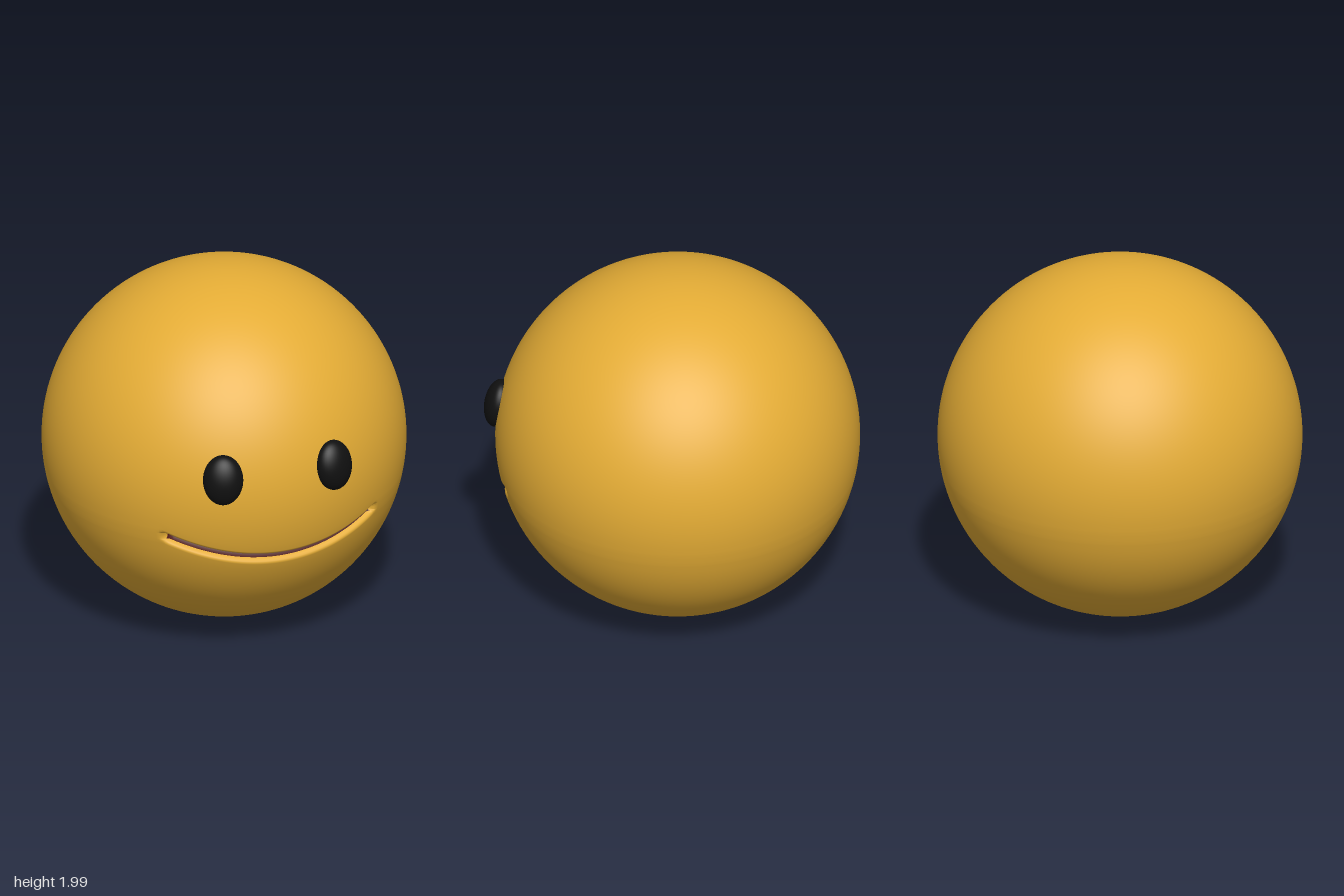
import * as THREE from 'three';

const R = 0.994;          // head radius
const CZ = -0.006;        // head centre, shifted so the eyes reach z = 1
const COLS = 360;
const MOUTH_END = 0.69;   // half angle of the smile around the y axis

const skin = new THREE.MeshStandardMaterial({ color: 0xe4ac35 });
skin.name = 'golden yellow';
const maroon = new THREE.MeshStandardMaterial({ color: 0x4a1010 });
maroon.name = 'dark maroon';
const black = new THREE.MeshStandardMaterial({ color: 0x101010 });
black.name = 'black';

// Groove section: [offset from the smile line, depth below the sphere]
const half = [[0.046, 0], [0.037, 0.002], [0.030, 0.007], [0.025, 0.016], [0.021, 0.032], [0.017, 0.06]];
const groove = [...half.map(([o, d]) => [-o, d]), [0, 0.065], ...half.slice().reverse()];

// Polar angle of the smile line at azimuth phi (0 = front)
function smileTheta(phi) {
  const p = Math.min(Math.abs(phi), MOUTH_END - 0.01);
  let y = -0.334;
  for (let i = 0; i < 6; i++) {
    const x = Math.sqrt(R * R - y * y) * Math.sin(p);
    y = -0.334 + 0.36 * x * x;
  }
  return Math.acos(y / R);
}

const mouthAmount = (phi) => THREE.MathUtils.smoothstep(MOUTH_END - Math.abs(phi), 0, 0.045);

// Head: a sphere whose rows bend along the smile, with a groove pressed in
function headGeometry() {
  const above = 44, below = 28;
  const rows = above + groove.length + below;
  const positions = [];
  for (let r = 0; r < rows; r++) {
    for (let c = 0; c < COLS; c++) {
      const phi = (c / COLS) * Math.PI * 2 - Math.PI;
      const line = smileTheta(phi);
      const edge = half[0][0];
      let theta, depth = 0;
      if (r < above) {
        theta = (line - edge) * r / above;
      } else if (r < above + groove.length) {
        const [o, d] = groove[r - above];
        theta = line + o;
        depth = d * mouthAmount(phi);
      } else {
        const t = (r - above - groove.length + 1) / below;
        theta = THREE.MathUtils.lerp(line + edge, Math.PI, t);
      }
      const q = R - depth;
      positions.push(
        q * Math.sin(theta) * Math.sin(phi),
        q * Math.cos(theta),
        q * Math.sin(theta) * Math.cos(phi));
    }
  }

  // Faces, sorted into skin and the inside of the mouth
  const outer = [], inner = [];
  for (let r = 0; r < rows - 1; r++) {
    for (let c = 0; c < COLS; c++) {
      const n = (c + 1) % COLS;
      const a = r * COLS + c, b = r * COLS + n;
      const d = a + COLS, e = b + COLS;
      const phi = ((c + 0.5) / COLS) * Math.PI * 2 - Math.PI;
      const g = r - above;
      const inside = g >= 4 && g < groove.length - 5 && mouthAmount(phi) > 0.4;
      const list = inside ? inner : outer;
      if (r < rows - 2) list.push(a, d, e);
      else list.push(a, d, b);
      if (r > 0 && r < rows - 2) list.push(a, e, b);
    }
  }

  const geo = new THREE.BufferGeometry();
  geo.setAttribute('position', new THREE.Float32BufferAttribute(positions, 3));
  geo.setIndex([...outer, ...inner]);
  geo.addGroup(0, outer.length, 0);
  geo.addGroup(outer.length, inner.length, 1);
  geo.computeVertexNormals();
  // Exact normals at the poles
  const nor = geo.attributes.normal;
  for (let c = 0; c < COLS; c++) {
    nor.setXYZ(c, 0, 1, 0);
    nor.setXYZ((rows - 1) * COLS + c, 0, -1, 0);
  }
  return geo;
}

export function createModel() {
  const model = new THREE.Group();
  model.name = 'smilingBall';

  const face = new THREE.Group();
  face.name = 'face';
  face.position.set(0, R, CZ);
  model.add(face);

  const head = new THREE.Mesh(headGeometry(), [skin, maroon]);
  head.name = 'headWithSmile';
  face.add(head);

  // Eyes: flattened ovals lying on the sphere
  const eyeGeo = new THREE.SphereGeometry(1, 40, 28);
  for (const side of [-1, 1]) {
    const eye = new THREE.Mesh(eyeGeo, black);
    eye.name = side > 0 ? 'leftEye' : 'rightEye';
    const normal = new THREE.Vector3(side * 0.318, 0.167, 0.926).normalize();
    eye.position.copy(normal).multiplyScalar(R);
    eye.rotation.order = 'YXZ';
    eye.rotation.y = Math.atan2(normal.x, normal.z);
    eye.rotation.x = -Math.asin(normal.y);
    eye.scale.set(0.11, 0.14, 0.075);
    face.add(eye);
  }
  return model;
}
